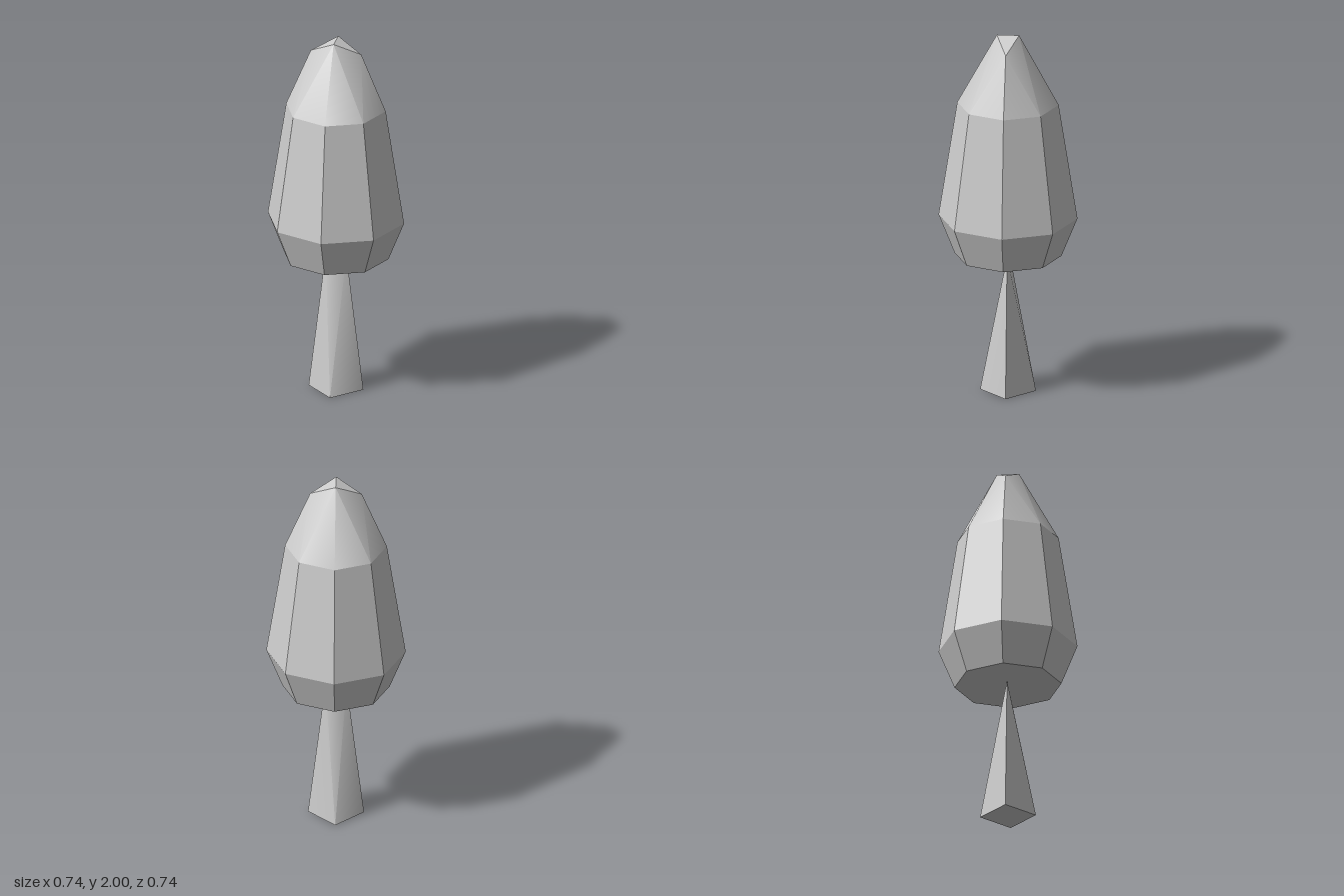
import * as THREE from 'three';
import { toCreasedNormals } from 'three/addons/utils/BufferGeometryUtils.js';

// Faceted solid from corner points and triangles, softened below the crease angle
function facets(points, faces, crease) {
  const geo = new THREE.BufferGeometry();
  geo.setAttribute('position', new THREE.Float32BufferAttribute(points.flat(), 3));
  geo.setIndex(faces.flat());
  return toCreasedNormals(geo, crease);
}

export function createModel() {
  const tree = new THREE.Group();
  tree.name = 'tree';
  const grey = new THREE.MeshStandardMaterial({ color: 0xcccccc });
  grey.name = 'lightGrey';

  const add = (name, geo) => {
    const mesh = new THREE.Mesh(geo, grey);
    mesh.name = name;
    tree.add(mesh);
  };

  // Crown body: closed underneath, eight flat sides
  const profile = [[0, 0.765], [0.285, 0.765], [0.37, 0.978], [0.27, 1.615]];
  const body = new THREE.LatheGeometry(profile.map(p => new THREE.Vector2(...p)), 8).toNonIndexed();
  body.computeVertexNormals();
  add('crownBody', body);

  // Crown tip: the eight-sided ring closes to a short diagonal ridge with two lower shoulders
  const tip = [];
  for (let i = 0; i < 8; i++) {
    const a = i * Math.PI / 4;
    tip.push([0.27 * Math.sin(a), 1.615, 0.27 * Math.cos(a)]);
  }
  tip.push([0.097, 1.93, 0.097], [0.042, 2, -0.042], [-0.097, 1.93, -0.097], [-0.042, 2, 0.042]);
  const tipFaces = [[11, 8, 9], [11, 9, 10]];
  for (let k = 0; k < 4; k++) {
    const r = 2 * k, apex = 8 + k, next = 8 + (k + 1) % 4, end = (r + 2) % 8;
    tipFaces.push([r, r + 1, apex], [r + 1, end, apex], [end, next, apex]);
  }
  add('crownTip', facets(tip, tipFaces, 0.72));

  // Trunk: square foot tapering to a diagonal edge under the crown
  const w = 0.105, t = 0.04, h = 0.768;
  const trunk = [[w, 0, w], [w, 0, -w], [-w, 0, -w], [-w, 0, w], [t, h, t], [-t, h, -t]];
  const trunkFaces = [
    [0, 1, 4], [1, 2, 5], [1, 5, 4],
    [2, 3, 5], [3, 0, 4], [3, 4, 5],
    [0, 3, 2], [0, 2, 1],
  ];
  add('trunk', facets(trunk, trunkFaces, 1.1));

  return tree;
}
